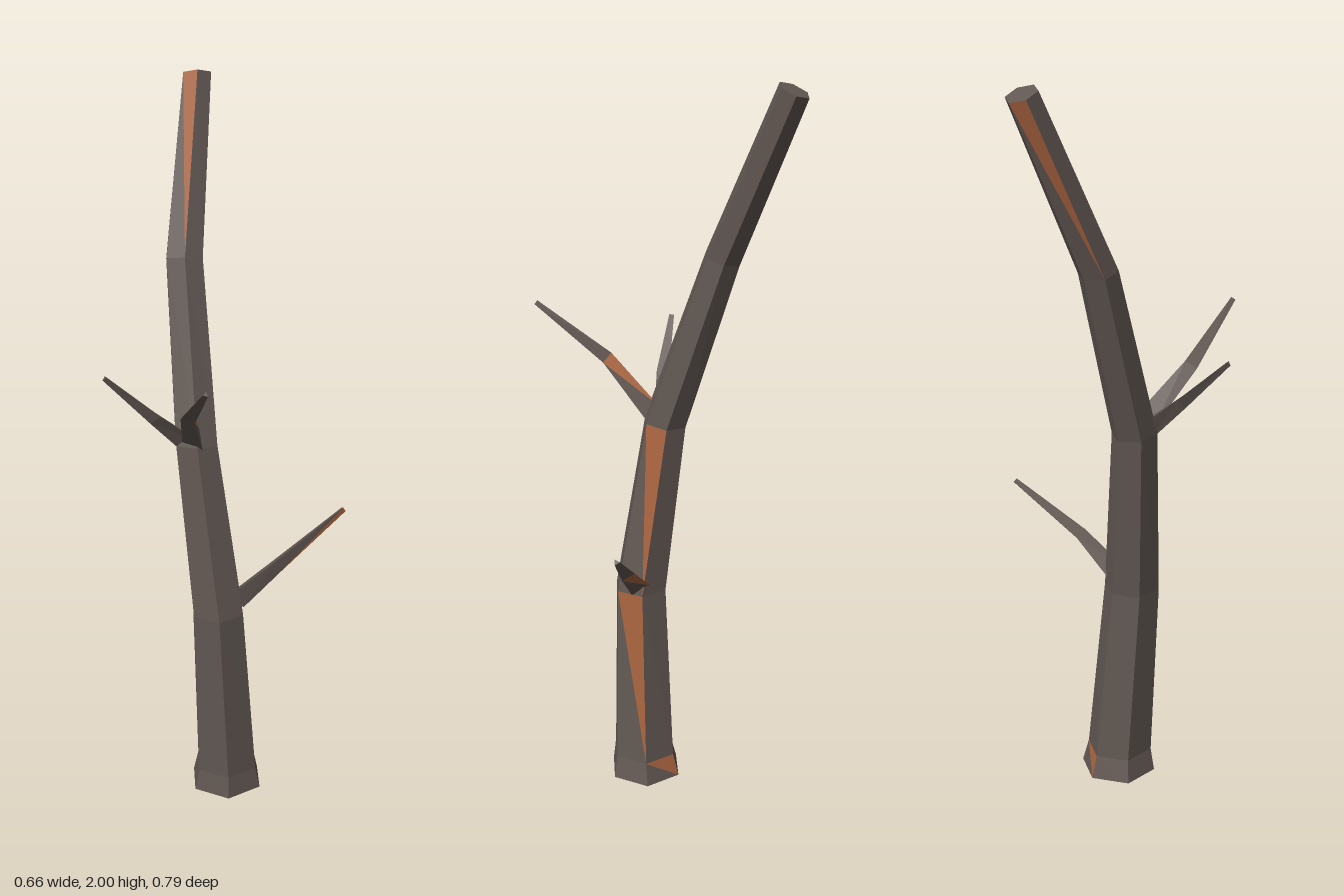
import * as THREE from 'three';

const bark = new THREE.MeshStandardMaterial({ color: 0x625853 });
bark.name = 'greyBark';
const wood = new THREE.MeshStandardMaterial({ color: 0xa8643f });
wood.name = 'bareWood';

// Skins a stack of rings with flat facets and closes both ends.
// bare lists [segment, side] pairs whose upper triangle is bare wood.
function skin(name, rings, bare) {
  const barkTris = [], woodTris = [];
  const n = rings[0].length;
  for (let k = 0; k < rings.length - 1; k++) {
    for (let i = 0; i < n; i++) {
      const j = (i + 1) % n, lo = rings[k], hi = rings[k + 1];
      const isBare = bare.some(([s, f]) => s === k && f === i);
      barkTris.push(lo[i], lo[j], hi[i]);
      (isBare ? woodTris : barkTris).push(lo[j], hi[j], hi[i]);
    }
  }
  const first = rings[0], last = rings[rings.length - 1];
  for (let i = 1; i < n - 1; i++) {
    barkTris.push(last[0], last[i], last[i + 1]);
    barkTris.push(first[0], first[i + 1], first[i]);
  }
  const geo = new THREE.BufferGeometry().setFromPoints([...barkTris, ...woodTris]);
  geo.addGroup(0, barkTris.length, 0);
  geo.addGroup(barkTris.length, woodTris.length, 1);
  geo.computeVertexNormals();
  const mesh = new THREE.Mesh(geo, [bark, wood]);
  mesh.name = name;
  return mesh;
}

// Six-sided trunk ring, tilted so its front edge rises
function trunkRing([x, y, z, rx, rz, tilt]) {
  return Array.from({ length: 6 }, (_, i) => {
    const a = (i * Math.PI) / 3, dz = rz * Math.cos(a);
    return new THREE.Vector3(x + (rx / 0.866) * Math.sin(a), y + dz * tilt, z + dz);
  });
}

// Three-sided branch along a bent path
function branch(name, path, radii, rollDegrees, bare) {
  const pts = path.map((p) => new THREE.Vector3(...p));
  const up = new THREE.Vector3(0, 1, 0);
  const rings = pts.map((p, k) => {
    const dir = pts[Math.min(k + 1, 2)].clone().sub(pts[Math.max(k - 1, 0)]).normalize();
    const side = up.clone().cross(dir).normalize();
    const rise = dir.clone().cross(side);
    return [0, 120, 240].map((deg) => {
      const a = THREE.MathUtils.degToRad(deg + rollDegrees);
      return p.clone()
        .addScaledVector(side, radii[k] * Math.cos(a))
        .addScaledVector(rise, radii[k] * Math.sin(a));
    });
  });
  return skin(name, rings, bare);
}

export function createModel() {
  const tree = new THREE.Group();
  tree.name = 'deadTree';

  // Trunk: x, y, z, half width, half depth, tilt
  const trunk = [
    [-0.011, 0, 0.018, 0.094, 0.107, 0],
    [-0.011, 0.065, 0.023, 0.081, 0.094, 0],
    [-0.036, 0.58, 0.045, 0.068, 0.077, 0],
    [-0.09, 1.065, -0.003, 0.055, 0.061, 0.15],
    [-0.112, 1.535, -0.157, 0.048, 0.048, 0.3],
    [-0.067, 1.983, -0.358, 0.037, 0.039, 0.45],
  ].map(trunkRing);
  tree.add(skin('trunk', trunk, [[0, 2], [1, 1], [2, 1], [4, 5], [4, 3]]));

  // Branches
  tree.add(branch('leftBranch',
    [[0.015, 0.605, 0.027], [0.13, 0.695, 0.005], [0.324, 0.828, -0.068]],
    [0.034, 0.023, 0.009], 5, [[1, 1], [0, 2]]));
  tree.add(branch('rightBranch',
    [[-0.11, 1.075, 0.01], [-0.2, 1.165, 0.058], [-0.328, 1.292, 0.094]],
    [0.032, 0.02, 0.008], 30, []));
  tree.add(branch('frontBranch',
    [[-0.095, 1.085, 0.03], [-0.115, 1.215, 0.185], [-0.081, 1.355, 0.393]],
    [0.034, 0.022, 0.008], 70, [[0, 2]]));

  return tree;
}
